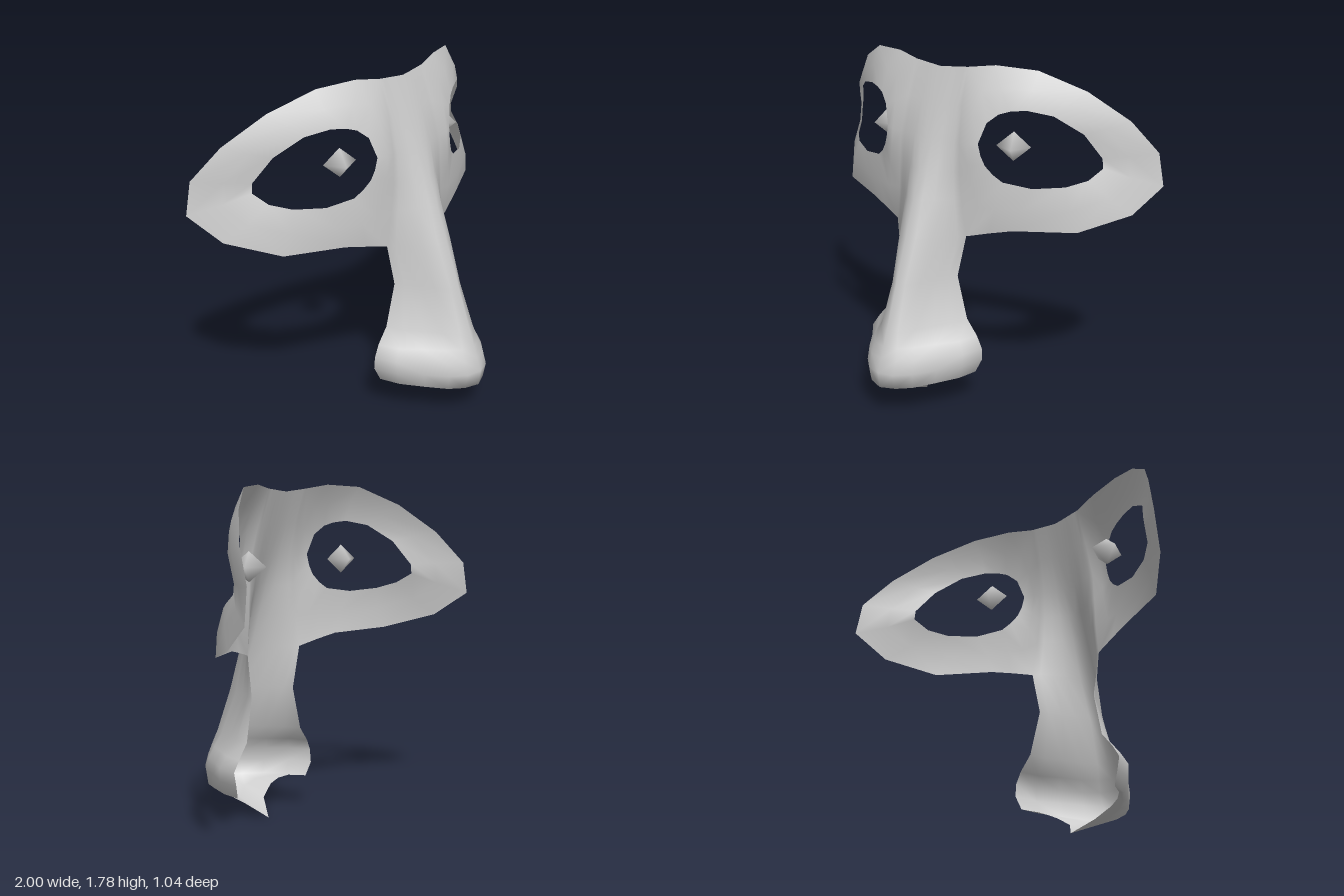
import * as THREE from 'three';
import { mergeGeometries, mergeVertices } from 'three/addons/utils/BufferGeometryUtils.js';

const lerp = THREE.MathUtils.lerp;
const mix = (p, q, t) => p.map((v, i) => lerp(v, q[i], t));

// Surface from rows of points; flip reverses the faces for the mirrored half
function skin(rows, flip) {
  const n = rows[0].length, index = [];
  for (let r = 0; r < rows.length - 1; r++) {
    for (let c = 0; c < n - 1; c++) {
      const a = r * n + c, b = a + 1, d = a + n, e = d + 1;
      index.push(...(flip ? [a, b, d, b, e, d] : [a, d, b, b, d, e]));
    }
  }
  const pts = rows.flat(2).map((v, i) => (flip && i % 3 === 0 ? -v : v));
  const g = new THREE.BufferGeometry();
  g.setAttribute('position', new THREE.Float32BufferAttribute(pts, 3));
  g.setIndex(index);
  return g;
}

// Column beside the bridge, from below the eye up to the brow
const bridge = [
  [0.225, 0.915, 0.08], [0.2, 1.1, 0.09], [0.19, 1.25, 0.095],
  [0.185, 1.4, 0.09], [0.17, 1.58, 0.05], [0.16, 1.76, -0.01],
];
// Outer edge of the brow, temple and cheek
const rim = [
  [0.3, 1.78, -0.05], [0.5, 1.768, -0.12], [0.7, 1.67, -0.25], [0.87, 1.52, -0.39],
  [0.97, 1.35, -0.51], [1, 1.18, -0.52], [0.92, 1.055, -0.36], [0.74, 0.985, -0.14],
  [0.45, 0.97, 0], [0.34, 0.945, 0.04],
];
// Eye opening, paired point by point with bridge + rim
const opening = [
  [0.355, 1.255, 0.04], [0.32, 1.3, 0.06], [0.3, 1.35, 0.07], [0.287, 1.41, 0.075],
  [0.32, 1.515, 0.05], [0.37, 1.56, 0.02], [0.42, 1.577, -0.005], [0.49, 1.585, -0.04],
  [0.6, 1.56, -0.11], [0.72, 1.47, -0.2], [0.78, 1.34, -0.285], [0.786, 1.29, -0.285],
  [0.75, 1.24, -0.21], [0.67, 1.21, -0.13], [0.535, 1.198, -0.04], [0.4, 1.22, 0.02],
];

function eyeSurround() {
  const outer = [...bridge, ...rim];
  const middle = outer.map((p, i) => {
    const q = mix(p, opening[i], 0.5);
    q[2] += 0.015;
    return q;
  });
  return [outer, middle, opening].map((row) => [...row, row[0]]);
}

function noseRows() {
  // Side edge from brow to nostril, with the matching ridge heights
  const side = [
    ...[...bridge].reverse(), [0.18, 0.69, 0.09], [0.235, 0.46, 0.08],
    [0.3, 0.38, 0.08], [0.335, 0.32, 0.085], [0.33, 0.25, 0.075],
  ];
  const ridgeY = [1.745, 1.58, 1.4, 1.25, 1.1, 0.915, 0.69, 0.46, 0.38, 0.32, 0.25];
  // Section shapes: slim at the bridge, full at the tip
  const slimX = [0, 0.22, 0.45, 0.65, 0.85, 1], slimZ = [1, 0.92, 0.62, 0.35, 0.13, 0];
  const fullX = [0, 0.24, 0.45, 0.66, 0.91, 1], fullZ = [1, 0.95, 0.8, 0.55, 0.3, 0];
  const rows = side.map(([sx, sy, sz], r) => {
    const y = ridgeY[r], ridgeZ = (1.745 - y) * 0.348;
    const full = THREE.MathUtils.clamp((0.8 - y) / 0.5, 0, 1);
    return slimX.map((_, c) => {
      const fx = lerp(slimX[c], fullX[c], full), fz = lerp(slimZ[c], fullZ[c], full);
      return [sx * fx, lerp(y, sy, fx), lerp(sz, ridgeZ, fz)];
    });
  });
  // Lower edge of the tip, then the underside back to the pointed septum
  const base = [
    [0, 0.165, 0.51], [0.08, 0.168, 0.48], [0.145, 0.17, 0.42],
    [0.21, 0.175, 0.32], [0.275, 0.177, 0.2], [0.3, 0.177, 0.09],
  ];
  const septum = [
    [0, 0, 0.12], [0.08, 0.08, 0.215], [0.17, 0.135, 0.235],
    [0.22, 0.16, 0.22], [0.26, 0.175, 0.18], [0.3, 0.177, 0.09],
  ];
  rows.push(base, base.map((p, i) => mix(p, septum[i], 0.5)), septum);
  return rows;
}

export function createModel() {
  const group = new THREE.Group();
  const material = new THREE.MeshStandardMaterial({ color: 0xcccccc, side: THREE.DoubleSide });

  // Face mask: both halves welded for smooth normals across the seams
  const parts = [false, true].flatMap((flip) => [skin(eyeSurround(), flip), skin(noseRows(), flip)]);
  const maskGeometry = mergeVertices(mergeGeometries(parts), 1e-4);
  maskGeometry.computeVertexNormals();
  const mask = new THREE.Mesh(maskGeometry, material);
  mask.name = 'mask';
  group.add(mask);

  // Diamond eyes floating behind the openings
  for (const s of [1, -1]) {
    const eye = new THREE.Mesh(new THREE.SphereGeometry(0.087, 4, 2), material);
    eye.name = s > 0 ? 'leftEye' : 'rightEye';
    eye.scale.y = 0.87;
    eye.rotation.y = 0.42 * s;
    eye.position.set(0.4 * s, 1.385, -0.07);
    group.add(eye);
  }
  return group;
}
